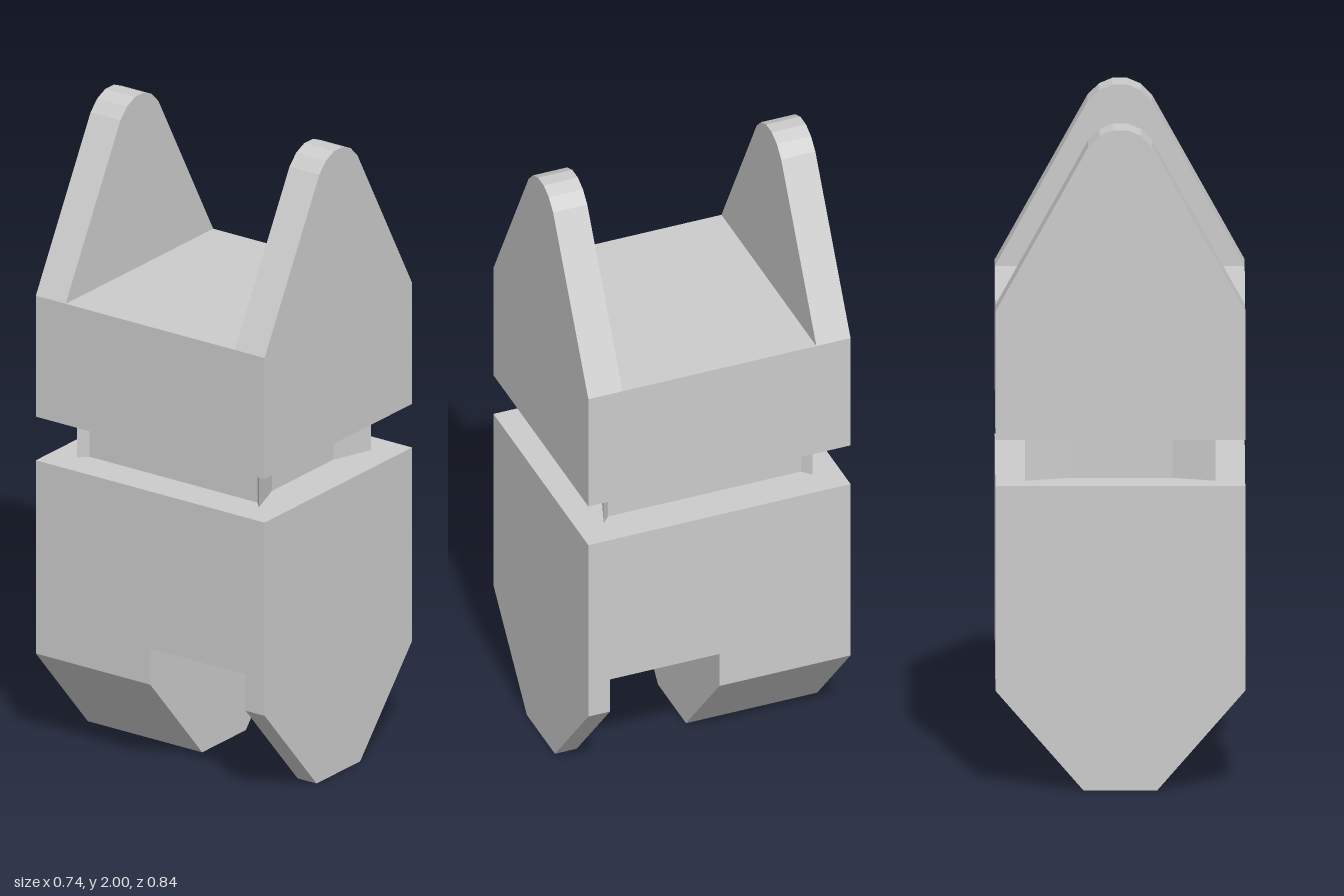
import * as THREE from 'three';

const W = 0.372; // half width (x)
const D = 0.422; // half depth (z)

const material = new THREE.MeshStandardMaterial({ color: 0xcccccc, flatShading: true });

// Mirrors a right-hand outline (bottom to top) into a closed symmetric shape
function mirroredShape(right) {
  const left = right.map(([x, y]) => [-x, y]).reverse();
  return new THREE.Shape([...right, ...left].map(([x, y]) => new THREE.Vector2(x, y)));
}

// Upright plate with an XY outline between two z positions
function plate(name, outline, z0, z1) {
  const geometry = new THREE.ExtrudeGeometry(mirroredShape(outline), { depth: z1 - z0, bevelEnabled: false });
  geometry.translate(0, 0, z0);
  const mesh = new THREE.Mesh(geometry, material);
  mesh.name = name;
  return mesh;
}

// Full-size block between two heights
function block(name, y0, y1) {
  const mesh = new THREE.Mesh(new THREE.BoxGeometry(2 * W, y1 - y0, 2 * D), material);
  mesh.position.y = (y0 + y1) / 2;
  mesh.name = name;
  return mesh;
}

export function createModel() {
  const group = new THREE.Group();
  group.name = 'hingeBlock';

  // Lower block with two tapered feet; the slot between them is off centre
  group.add(block('lowerBlock', 0.418, 0.922));
  const foot = [[0.11, 0], [W, 0.302], [W, 0.418]];
  group.add(plate('frontFoot', foot, 0.352, D));
  group.add(plate('backFoot', foot, -D, 0));

  // Recessed neck: pointed corners with hollowed faces on all four sides
  const neckShape = mirroredShape([
    [0.155, -0.29], [0.283, -0.336], [0.255, -0.31],
    [0.255, 0.31], [0.283, 0.336], [0.155, 0.29],
  ]);
  const neckGeometry = new THREE.ExtrudeGeometry(neckShape, { depth: 0.142, bevelEnabled: false });
  neckGeometry.rotateX(-Math.PI / 2);
  const neck = new THREE.Mesh(neckGeometry, material);
  neck.position.y = 0.921;
  neck.name = 'neck';
  group.add(neck);

  // Upper block with a pair of round-tipped lugs
  group.add(block('upperBlock', 1.062, 1.45));
  const lug = [[W, 1.45], [0.096, 1.949], [0.062, 1.983], [0.022, 2]];
  group.add(plate('frontLug', lug, 0.312, D));
  group.add(plate('backLug', lug, -D, -0.312));

  return group;
}
